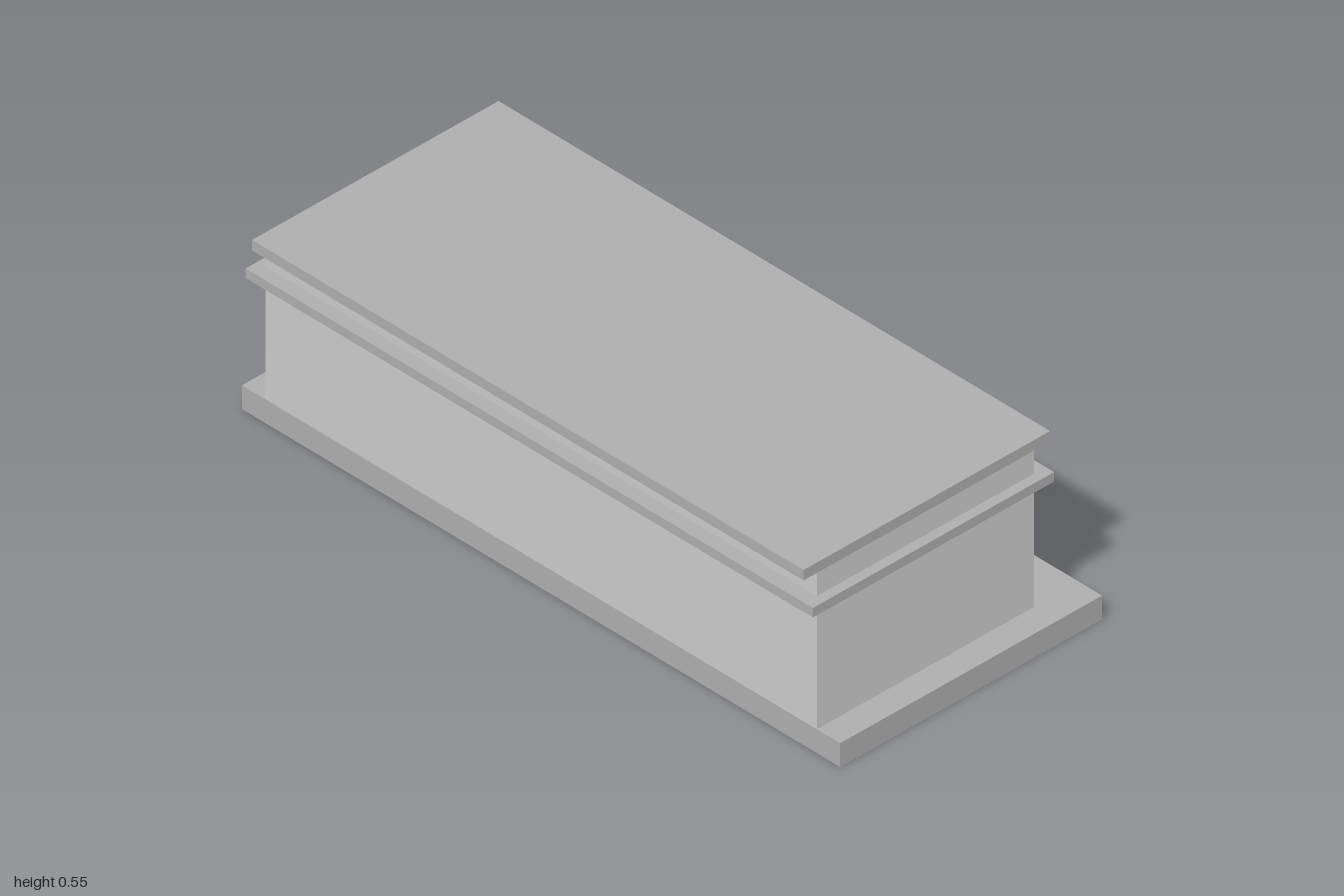
import * as THREE from 'three';

const WALL = new THREE.MeshStandardMaterial({ color: 0xcccccc });
const TRIM = new THREE.MeshStandardMaterial({ color: 0xaeaeae });
const DARK = new THREE.MeshStandardMaterial({ color: 0x505050 });

// Box given by its limits on each axis
function slab(name, material, [x0, x1], [y0, y1], [z0, z1]) {
  const mesh = new THREE.Mesh(new THREE.BoxGeometry(x1 - x0, y1 - y0, z1 - z0), material);
  mesh.position.set((x0 + x1) / 2, (y0 + y1) / 2, (z0 + z1) / 2);
  mesh.name = name;
  return mesh;
}

export function createModel() {
  const group = new THREE.Group();
  group.name = 'building';

  const floorY = 0.068, wallTop = 0.515, wallBack = -0.405, wallFront = 0.30;
  const reveal = 0.055, inner = wallFront - reveal;
  const wallZ = [-0.922, 0.922];
  const sillY = 0.229, headY = 0.376;
  const door = [-0.1, 0.097];
  const windows = [
    [0.725, 0.857], [0.503, 0.644], [0.266, 0.435],
    [-0.409, -0.255], [-0.624, -0.479], [-0.845, -0.701],
  ];

  // Plinth, ledge and roof slab
  group.add(slab('plinth', TRIM, [-0.405, 0.445], [0, floorY], [-1, 1]));
  group.add(slab('ledge', TRIM, [-0.445, 0.338], [0.422, 0.449], [-0.947, 0.95]));
  group.add(slab('roof', TRIM, [-0.448, 0.352], [wallTop, 0.545], wallZ));

  // Main body behind the entrance wall
  group.add(slab('body', WALL, [wallBack, inner], [floorY, wallTop], wallZ));

  // Entrance wall: outline with a door notch and window holes, drawn in (-z, y)
  const outline = new THREE.Shape([
    [wallZ[1], floorY], [door[1], floorY], [door[1], headY], [door[0], headY],
    [door[0], floorY], [wallZ[0], floorY], [wallZ[0], wallTop], [wallZ[1], wallTop],
  ].map(([z, y]) => new THREE.Vector2(-z, y)));
  for (const [z0, z1] of windows) {
    outline.holes.push(new THREE.Path([
      [z0, sillY], [z1, sillY], [z1, headY], [z0, headY],
    ].map(([z, y]) => new THREE.Vector2(-z, y))));
  }
  const wallGeometry = new THREE.ExtrudeGeometry(outline, { depth: reveal, bevelEnabled: false });
  wallGeometry.rotateY(Math.PI / 2).translate(inner, 0, 0);
  const wall = new THREE.Mesh(wallGeometry, WALL);
  wall.name = 'entranceWall';
  group.add(wall);

  // Dark panels set back in the openings
  const paneX = [inner - 0.005, inner + 0.003];
  group.add(slab('door', DARK, paneX, [floorY, headY], door));
  windows.forEach((z, i) => group.add(slab(`windowPane${i + 1}`, DARK, paneX, [sillY, headY], z)));

  return group;
}
